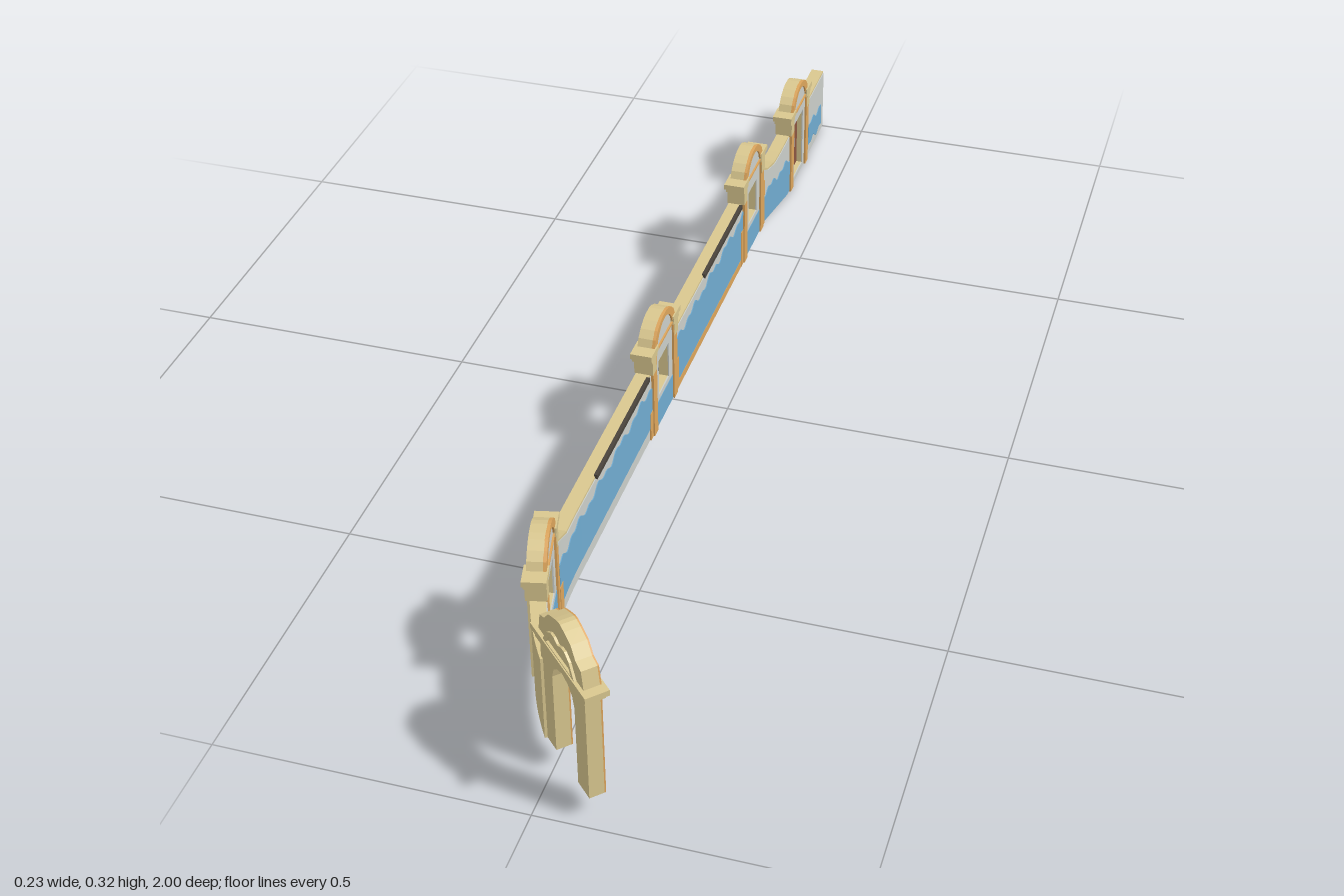
import * as THREE from 'three';

const mat = (name, color) => {
  const m = new THREE.MeshStandardMaterial({ color });
  m.name = name;
  return m;
};

export function createModel() {
  const model = new THREE.Group();
  model.name = 'boundaryWall';
  const tan = mat('sandstone', 0xd9c78f), grey = mat('pale plaster', 0xcbcfca);
  const blue = mat('blue paint', 0x70abd0), orange = mat('ochre paint', 0xdda55c);
  const brown = mat('door wood', 0x8a5640), dark = mat('dark frame', 0x4a443c);

  // Plan of the wall: straight, then bending away to +x
  const bend = (z) => Math.max(0, z - 0.52);
  const planX = (z) => -0.098 + 1.26 * bend(z) ** 2.6;
  const slope = (z) => 1.26 * 2.6 * bend(z) ** 1.6;
  const lerpList = (pts) => (z) => {
    for (let i = 1; i < pts.length; i++) {
      const [a, ya] = pts[i - 1], [b, yb] = pts[i];
      if (z <= b) return THREE.MathUtils.lerp(ya, yb, Math.max(0, (z - a) / (b - a)));
    }
    return pts[pts.length - 1][1];
  };
  const wallBottom = lerpList([[-0.71, 0], [-0.53, 0.045]]);
  const wallTop = lerpList([[-0.66, 0.13], [-0.62, 0.132], [-0.57, 0.147], [-0.52, 0.175],
    [0.59, 0.175], [0.645, 0.2]]);

  // Box swept along the plan between z = a and b, depth d0..d1 along the painted normal
  function strip(name, material, a, b, n, bottom, top, d0, d1) {
    const geo = new THREE.BoxGeometry(1, 1, 1, 1, 1, n).toNonIndexed();
    const p = geo.attributes.position;
    for (let i = 0; i < p.count; i++) {
      const z = a + (b - a) * (p.getZ(i) + 0.5);
      const d = p.getX(i) > 0 ? d1 : d0;
      const s = slope(z), len = Math.hypot(1, s);
      p.setXYZ(i, planX(z) + d / len, p.getY(i) > 0 ? top(z) : bottom(z), z - (d * s) / len);
    }
    geo.computeVertexNormals();
    const mesh = new THREE.Mesh(geo, material);
    mesh.name = name;
    model.add(mesh);
  }
  const flat = (y) => () => y;
  const wave = (y) => (z) => y + 0.005 * Math.sin(z * 61) + 0.004 * Math.sin(z * 143 + 1);

  // Wall runs between the pavilions, with plaster on the inner face
  for (const [a, b, n] of [[-1, -0.855, 1], [-0.735, -0.515, 24], [-0.395, 0.04, 1],
    [0.16, 0.65, 40], [0.77, 0.885, 10]]) {
    strip('wall', tan, a, b, n, wallBottom, wallTop, -0.012, 0.012);
    strip('plaster', grey, a, b, n, wallBottom, (z) => wallTop(z) - 0.004, 0.011, 0.0135);
  }

  // Wavy blue bands
  strip('blueBand', blue, -0.39, 0.035, 90, flat(0.058), wave(0.15), 0.012, 0.015);
  strip('blueBand', blue, 0.165, 0.645, 100, flat(0.07), wave(0.15), 0.012, 0.015);
  strip('blueBand', blue, 0.775, 0.875, 20, flat(0.07), flat(0.145), 0.012, 0.015);
  const rampTop = lerpList([[-0.73, 0.075], [-0.53, 0.108]]);
  strip('blueBand', blue, -0.73, -0.525, 40, (z) => wallBottom(z) + 0.003,
    (z) => rampTop(z) + wave(0)(z), 0.012, 0.015);
  strip('bluePatch', blue, -0.98, -0.875, 24, wave(0.02), wave(0.065), 0.012, 0.015);

  // Ochre edging at the foot and beside the pavilions
  strip('ochreFoot', orange, -0.39, 0.035, 1, flat(0.045), flat(0.06), 0.012, 0.0155);
  for (const [z, h] of [[0.028, 0.11], [-0.383, 0.12], [0.17, 0.1], [0.64, 0.11], [-0.528, 0.14]]) {
    strip('ochreEdge', orange, z - 0.009, z + 0.009, 1, wallBottom, flat(h), 0.012, 0.0158);
  }
  // Dark line under the coping
  for (const [a, b] of [[0.18, 0.45], [-0.38, -0.14]]) {
    strip('copingLine', dark, a, b, 1, flat(0.17), flat(0.178), 0.01, 0.016);
  }

  // Flat pieces in a local frame: x along the wall, z towards the painted side
  function extrude(group, name, material, shape, d0, d1) {
    const geo = new THREE.ExtrudeGeometry(shape, { depth: d1 - d0, bevelEnabled: false, curveSegments: 12 });
    geo.translate(0, 0, d0);
    const mesh = new THREE.Mesh(geo, material);
    mesh.name = name;
    group.add(mesh);
  }
  function box(group, name, material, x0, x1, y0, y1, d0, d1) {
    const mesh = new THREE.Mesh(new THREE.BoxGeometry(x1 - x0, y1 - y0, d1 - d0), material);
    mesh.position.set((x0 + x1) / 2, (y0 + y1) / 2, (d0 + d1) / 2);
    mesh.name = name;
    group.add(mesh);
  }
  // Symmetric outline from its right half, listed bottom to top
  const mirrored = (half) => new THREE.Shape([
    ...half.map(([x, y]) => new THREE.Vector2(x, y)),
    ...half.slice().reverse().map(([x, y]) => new THREE.Vector2(-x, y)),
  ]);
  const rectPath = (w, y0, y1) => new THREE.Path([[-w, y0], [-w, y1], [w, y1], [w, y0]]
    .map(([x, y]) => new THREE.Vector2(x, y)));
  function place(name, x, z, nx, nz) {
    const g = new THREE.Group();
    g.name = name;
    g.position.set(x, 0, z);
    g.rotation.y = Math.atan2(nx, nz);
    model.add(g);
    return g;
  }

  // Arched pavilion holding a window or a door
  function pavilion(z, base, top, hasDoor) {
    const g = place(hasDoor ? 'doorPavilion' : 'windowPavilion', planX(z), z, 1, -slope(z));
    const y0 = hasDoor ? 0.012 : top - 0.15, y1 = hasDoor ? top - 0.075 : top - 0.08;
    const w = hasDoor ? 0.032 : 0.028;
    const arch = [[0.056, top - 0.035], [0.05, top - 0.022], [0.038, top - 0.011], [0.022, top - 0.003], [0.01, top]];
    const inner = arch.map(([x, y]) => [x * 0.76, y - 0.01]);

    const body = mirrored([[0.065, base], [0.065, top - 0.04], ...arch]);
    body.holes.push(rectPath(w, y0, y1));
    extrude(g, 'pavilionBody', tan, body, -0.0125, 0.0125);

    const field = mirrored([[0.05, base + 0.001], [0.05, top - 0.06], ...inner]);
    field.holes.push(rectPath(w, y0, y1));
    extrude(g, 'plasterField', grey, field, 0.012, 0.0145);

    // Ochre band following the arch
    const band = mirrored([[0.056, top - 0.05], ...arch]);
    band.holes.push(new THREE.Path(mirrored([[0.043, top - 0.046], ...inner]).getPoints()));
    extrude(g, 'archBand', orange, band, 0.012, 0.0175);

    for (const s of [-1, 1]) {
      const side = (name, m, a, b, ya, yb, d0, d1) =>
        box(g, name, m, Math.min(s * a, s * b), Math.max(s * a, s * b), ya, yb, d0, d1);
      side('pilaster', orange, 0.047, 0.066, base, top - 0.05, 0.012, 0.018);
      side('capital', tan, 0.042, 0.081, top - 0.045, top - 0.035, -0.0175, 0.02);
      side('capitalLower', tan, 0.045, 0.075, top - 0.054, top - 0.045, -0.016, 0.0185);
      side('bracket', tan, 0.05, 0.07, top - 0.08, top - 0.054, -0.0145, 0.0185);
    }
    if (hasDoor) {
      box(g, 'door', brown, -w, w, y0, y1, -0.0135, 0.003);
    } else {
      box(g, 'bluePanel', blue, -0.046, 0.046, base + 0.001, y0 - 0.01, 0.012, 0.0155);
      box(g, 'windowJamb', dark, -w, -w + 0.014, y0, y1, -0.008, 0.01);
      box(g, 'windowHead', dark, -w, w, y1 - 0.006, y1, -0.008, 0.01);
    }
  }
  pavilion(0.71, 0.045, 0.28, false);
  pavilion(0.1, 0.045, 0.255, false);
  pavilion(-0.455, 0.045, 0.255, false);
  pavilion(-0.795, 0, 0.21, true);

  // Archway at the curved end
  const gate = place('gateway', 0.042, 0.927, 1, -1);
  const gateShape = () => new THREE.Shape([
    [-0.072, 0.045], [-0.036, 0.045], [-0.036, 0.19], [-0.03, 0.208], [-0.018, 0.219], [0, 0.225],
    [0.018, 0.219], [0.03, 0.208], [0.036, 0.19], [0.036, 0.045], [0.072, 0.045], [0.072, 0.24], [-0.072, 0.24],
  ].map(([x, y]) => new THREE.Vector2(x, y)));
  extrude(gate, 'gateBody', tan, gateShape(), -0.012, 0.012);
  extrude(gate, 'gatePaint', orange, gateShape(), 0.012, 0.0145);
  const crown = [[0.073, 0.25], [0.066, 0.284], [0.05, 0.29], [0.036, 0.308], [0.016, 0.316], [0.004, 0.32]];
  extrude(gate, 'pediment', tan, mirrored(crown), -0.013, 0.012);
  extrude(gate, 'pedimentPaint', orange, mirrored(crown), 0.012, 0.0145);
  box(gate, 'corniceTop', tan, -0.088, 0.088, 0.244, 0.254, -0.019, 0.019);
  box(gate, 'corniceLower', tan, -0.08, 0.08, 0.234, 0.244, -0.016, 0.0165);
  // Raised chevron moulding on both faces of the pediment
  const chevron = mirrored([[0.05, 0.254], [0.036, 0.277], [0.022, 0.286], [0.012, 0.286], [0.002, 0.281]]);
  chevron.holes.push(new THREE.Path(mirrored([[0.04, 0.256], [0.03, 0.273], [0.02, 0.279], [0.013, 0.279], [0.002, 0.274]]).getPoints()));
  extrude(gate, 'chevronOuter', tan, chevron, -0.017, -0.012);
  extrude(gate, 'chevronInner', orange, chevron, 0.014, 0.0185);
  return model;
}
